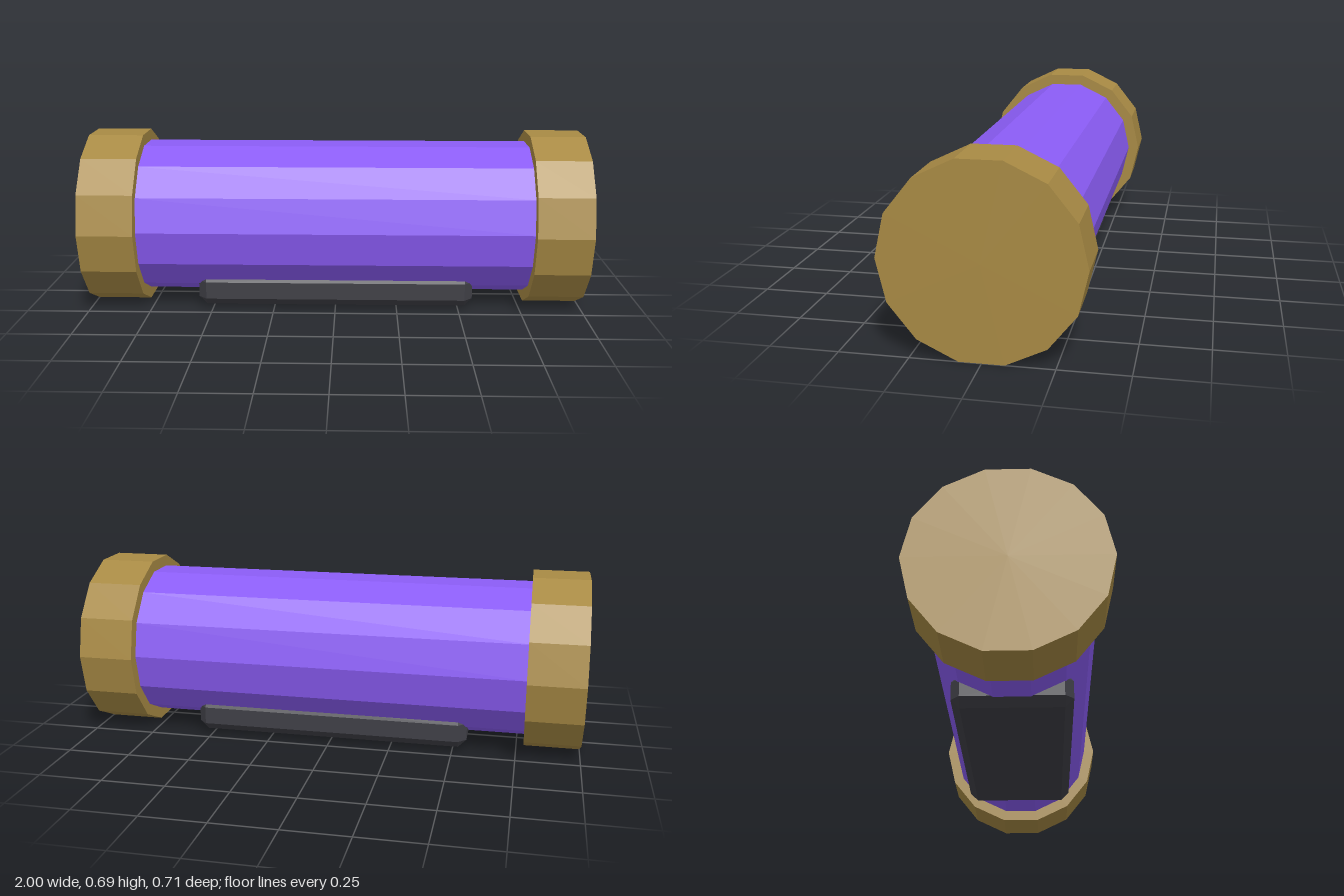
import * as THREE from 'three';
import { ConvexGeometry } from 'three/addons/geometries/ConvexGeometry.js';

const SIDES = 14;
const AXIS_Y = 0.347;

const paint = (color) => new THREE.MeshStandardMaterial({ color, flatShading: true });

// Faceted cylinder lying along x
function barrel(name, radius, length, x, material) {
  const geometry = new THREE.CylinderGeometry(radius, radius, length, SIDES).rotateZ(Math.PI / 2);
  const mesh = new THREE.Mesh(geometry, material);
  mesh.name = name;
  mesh.position.set(x, AXIS_Y, 0);
  return mesh;
}

// Box with every edge cut by one flat chamfer
function chamferedBox(w, h, d, c) {
  const points = [];
  for (const sx of [-1, 1]) for (const sy of [-1, 1]) for (const sz of [-1, 1]) {
    for (const [ix, iy, iz] of [[0, c, c], [c, 0, c], [c, c, 0]]) {
      points.push(new THREE.Vector3(sx * (w / 2 - ix), sy * (h / 2 - iy), sz * (d / 2 - iz)));
    }
  }
  return new ConvexGeometry(points);
}

export function createModel() {
  const model = new THREE.Group();
  model.name = 'cappedTube';
  const gold = paint(0xa88a44);

  // Tube body
  model.add(barrel('body', 0.31, 1.6, 0, paint(0x8b5cf6)));

  // End caps
  model.add(barrel('leftCap', 0.356, 0.22, 0.89, gold));
  model.add(barrel('rightCap', 0.356, 0.22, -0.89, gold));

  // Chamfered base plate set into the underside
  const base = new THREE.Mesh(chamferedBox(1.112, 0.135, 0.444, 0.033), paint(0x3f3f46));
  base.name = 'basePlate';
  base.position.y = 0.0825;
  model.add(base);

  return model;
}
